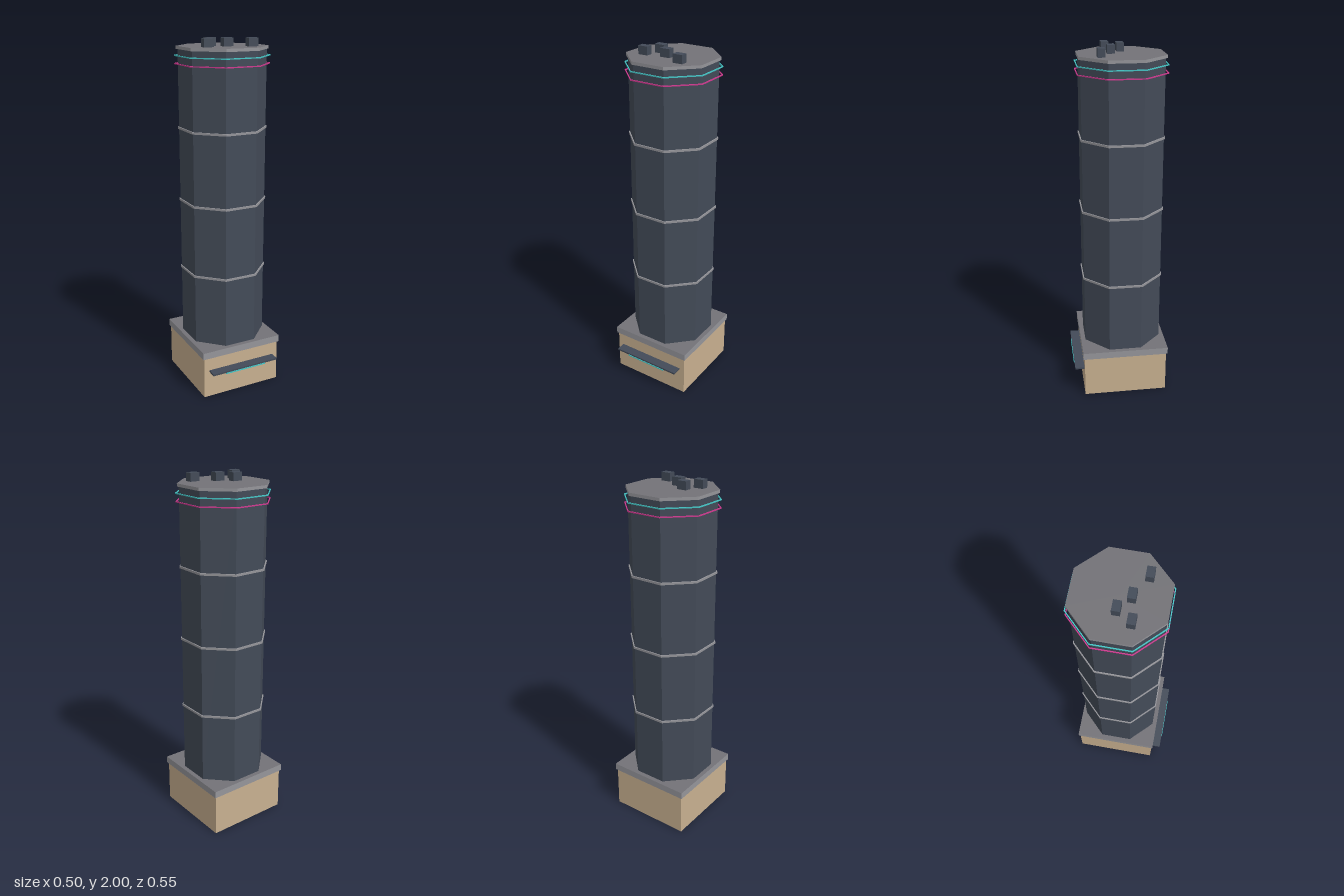
import * as THREE from 'three';

const mat = (name, color, side = THREE.FrontSide) => {
  const m = new THREE.MeshStandardMaterial({ color, side });
  m.name = name;
  return m;
};

export function createModel() {
  const glass = mat('dark slate', 0x434b58);
  const stone = mat('tan stone', 0xc8b090, THREE.DoubleSide);
  const trim = mat('light grey trim', 0x95959a);
  const deck = mat('dark grey deck', 0x737277);
  const cyan = mat('cyan neon', 0x45c8c8);
  const magenta = mat('magenta neon', 0xd03a90);

  const model = new THREE.Group();
  model.name = 'tower';
  const CZ = -0.025; // centre of the tower in z

  const add = (name, geometry, material, x, y, z) => {
    const mesh = new THREE.Mesh(geometry, material);
    mesh.name = name;
    mesh.position.set(x, y, z);
    model.add(mesh);
    return mesh;
  };

  // Upright prism with flat faces, sized by the distance to its sides
  const prism = (sides, apothem, height, open = false) => {
    const r = apothem / Math.cos(Math.PI / sides);
    const g = new THREE.CylinderGeometry(r, r, height, sides, 1, open)
      .rotateY(Math.PI / sides).toNonIndexed();
    g.computeVertexNormals();
    return g;
  };

  // Octagonal frame with a hollow middle
  const octagon = (apothem, target) => {
    const r = apothem / Math.cos(Math.PI / 8);
    const pts = [];
    for (let i = 0; i < 8; i++) {
      const a = Math.PI / 8 + i * Math.PI / 4;
      pts.push(new THREE.Vector2(r * Math.cos(a), r * Math.sin(a)));
    }
    return target.setFromPoints(pts);
  };
  const frame = (outer, inner, height) => {
    const shape = octagon(outer, new THREE.Shape());
    shape.holes.push(octagon(inner, new THREE.Path()));
    return new THREE.ExtrudeGeometry(shape, { depth: height, bevelEnabled: false })
      .translate(0, 0, -height / 2).rotateX(-Math.PI / 2);
  };

  // Podium, open underneath, and its slab
  add('podiumWalls', prism(4, 0.24, 0.247, true), stone, 0, 0.1235, CZ);
  add('podiumSlab', prism(4, 0.248, 0.04), [trim, deck, deck], 0, 0.266, CZ);

  // Shaft with three floor bands
  add('shaft', prism(8, 0.222, 1.656), glass, 0, 1.113, CZ);
  for (const y of [0.695, 1.105, 1.515]) {
    add('floorBand', frame(0.228, 0.22, 0.012), trim, 0, y, CZ);
  }

  // Roof cap and floating neon rings
  add('roofCap', prism(8, 0.231, 0.016), [trim, deck, trim], 0, 1.947, CZ);
  add('upperNeonRing', frame(0.24, 0.235, 0.006), cyan, 0, 1.905, CZ);
  add('lowerNeonRing', frame(0.24, 0.235, 0.006), magenta, 0, 1.862, CZ);

  // Rooftop units
  for (const [x, z] of [[-0.075, -0.028], [-0.125, 0.049], [-0.002, 0.03], [0.115, 0.092]]) {
    add('rooftopUnit', new THREE.BoxGeometry(0.056, 0.046, 0.04), glass, x, 1.977, z);
  }

  // Entrance canopy with a light strip under its front edge
  add('canopy', new THREE.BoxGeometry(0.416, 0.01, 0.056), glass, 0, 0.162, 0.242);
  add('canopyLight', new THREE.BoxGeometry(0.256, 0.007, 0.006), cyan, 0, 0.1545, 0.27);

  return model;
}
